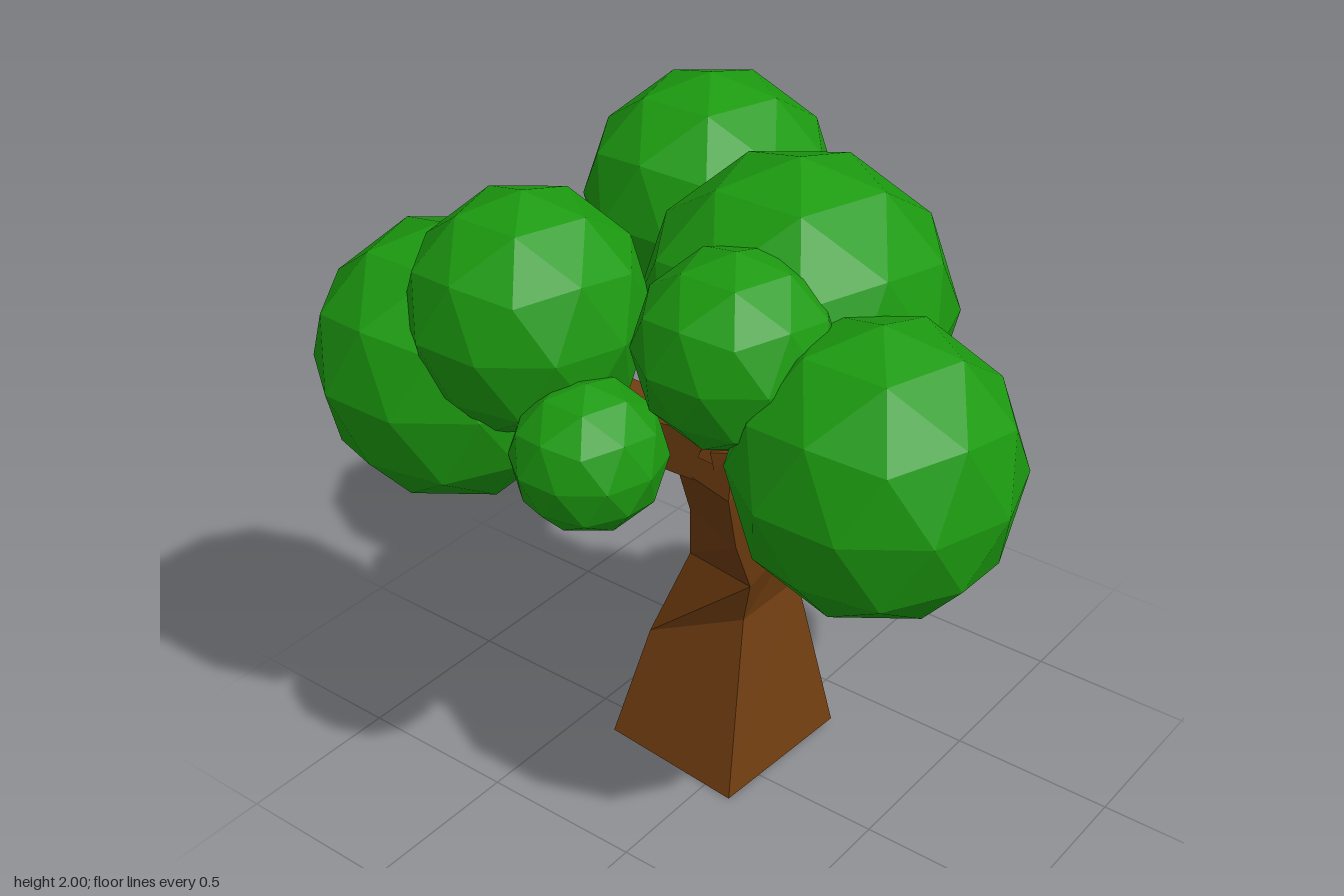
import * as THREE from 'three';

const bark = new THREE.MeshStandardMaterial({ color: 0x6e3c10, flatShading: true });
const leaf = new THREE.MeshStandardMaterial({ color: 0x1c9a10, flatShading: true });

// Skin a list of four-cornered rings (counterclockwise seen from the tip), capped at both ends
function loft(rings) {
  const index = [];
  for (let r = 0; r < rings.length - 1; r++) {
    for (let i = 0; i < 4; i++) {
      const a = r * 4 + i, b = r * 4 + (i + 1) % 4;
      index.push(a, b, b + 4, a, b + 4, a + 4);
    }
  }
  const n = (rings.length - 1) * 4;
  index.push(0, 3, 2, 0, 2, 1, n, n + 1, n + 2, n, n + 2, n + 3);
  const geo = new THREE.BufferGeometry();
  geo.setAttribute('position', new THREE.Float32BufferAttribute(rings.flat(2), 3));
  geo.setIndex(index);
  const flat = geo.toNonIndexed();
  flat.computeVertexNormals();
  return flat;
}

// Square-section branch through points [x, y, z, halfWidth]
function branch(path) {
  const pts = path.map(p => new THREE.Vector3(p[0], p[1], p[2]));
  const up = new THREE.Vector3(0, 1, 0);
  const rings = path.map((p, i) => {
    const d = pts[Math.min(i + 1, pts.length - 1)].clone().sub(pts[Math.max(i - 1, 0)]).normalize();
    const u = up.clone().cross(d).normalize();
    const v = d.clone().cross(u);
    return [[-1, -1], [1, -1], [1, 1], [-1, 1]].map(([a, b]) =>
      pts[i].clone().addScaledVector(u, a * p[3]).addScaledVector(v, b * p[3]).toArray());
  });
  return loft(rings);
}

// Faceted ball with a vertex at its top
function ballGeometry() {
  const geo = new THREE.IcosahedronGeometry(1, 1);
  geo.rotateZ(Math.atan(2 / (1 + Math.sqrt(5))));
  geo.rotateY(Math.PI);
  return geo;
}

export function createModel() {
  const tree = new THREE.Group();
  tree.name = 'tree';
  const add = (name, geo, mat) => {
    const mesh = new THREE.Mesh(geo, mat);
    mesh.name = name;
    tree.add(mesh);
    return mesh;
  };

  // Leaning trunk: front left, front right, back right, back left corners
  add('trunk', loft([
    [[-0.14, 0, 0.095], [0.325, 0.025, 0.14], [0.365, 0.025, -0.34], [-0.10, 0, -0.38]],
    [[0.07, 0.485, -0.01], [0.305, 0.51, 0.015], [0.33, 0.53, -0.22], [-0.01, 0.365, -0.30]],
    [[0.035, 0.645, 0.04], [0.245, 0.715, 0.055], [0.27, 0.75, -0.15], [0.05, 0.66, -0.19]],
    [[-0.06, 0.84, 0.06], [0.13, 0.92, 0.08], [0.20, 0.95, -0.09], [-0.01, 0.86, -0.14]],
    [[-0.12, 1.03, 0.08], [0.05, 1.08, 0.10], [0.12, 1.14, -0.09], [-0.09, 1.05, -0.12]],
    [[-0.09, 1.15, 0.07], [0.04, 1.17, 0.08], [0.07, 1.19, -0.07], [-0.07, 1.16, -0.08]],
  ]), bark);

  // Branches reaching into the crowns
  add('frontBranch', branch([[-0.02, 1.07, 0, 0.08], [0.05, 1.13, 0.28, 0.07],
    [0.05, 1.17, 0.50, 0.06], [-0.12, 1.3, 0.6, 0.04]]), bark);
  add('backLeftBranch', branch([[-0.01, 1.11, -0.02, 0.08], [-0.05, 1.12, -0.2, 0.07],
    [-0.07, 1.16, -0.34, 0.065], [-0.34, 1.24, -0.5, 0.05]]), bark);
  add('backRightBranch', branch([[0.0, 1.12, -0.02, 0.07], [0.12, 1.22, -0.2, 0.055],
    [0.3, 1.42, -0.42, 0.035]]), bark);
  add('sideBranch', branch([[0.13, 0.8, -0.03, 0.07], [0.24, 0.86, 0.0, 0.06],
    [0.38, 0.93, 0.1, 0.045], [0.5, 0.95, 0.22, 0.03]]), bark);
  add('upperSideBranch', branch([[0.02, 1.08, 0, 0.06], [0.3, 1.15, 0.05, 0.035]]), bark);
  add('topBranch', branch([[-0.02, 1.1, 0, 0.07], [0.03, 1.45, 0.12, 0.04]]), bark);

  // Leaf crowns: centre x, y, z and radius x, y, z
  const ball = ballGeometry();
  const crowns = {
    mainCrown: [0.05, 1.575, 0.175, 0.42, 0.42, 0.42],
    frontCrown: [-0.216, 1.383, 0.605, 0.368, 0.393, 0.375],
    backLeftCrown: [-0.43, 1.383, -0.61, 0.368, 0.393, 0.375],
    innerLeftCrown: [-0.425, 1.61, -0.325, 0.32, 0.33, 0.32],
    backRightCrown: [0.355, 1.65, -0.34, 0.365, 0.355, 0.355],
    sideBulge: [-0.3, 1.63, 0.24, 0.26, 0.26, 0.26],
    lowLeftCrown: [-0.56, 1.36, -0.02, 0.205, 0.2, 0.2],
    lowRightCrown: [0.48, 0.94, 0.33, 0.268, 0.25, 0.25],
    upperRightTuft: [0.38, 1.15, 0.07, 0.19, 0.185, 0.185],
    outerRightTuft: [0.59, 0.89, 0.055, 0.195, 0.195, 0.18],
  };
  for (const [name, c] of Object.entries(crowns)) {
    const crown = add(name, ball, leaf);
    crown.position.set(c[0], c[1], c[2]);
    crown.scale.set(c[3], c[4], c[5]);
  }
  return tree;
}
